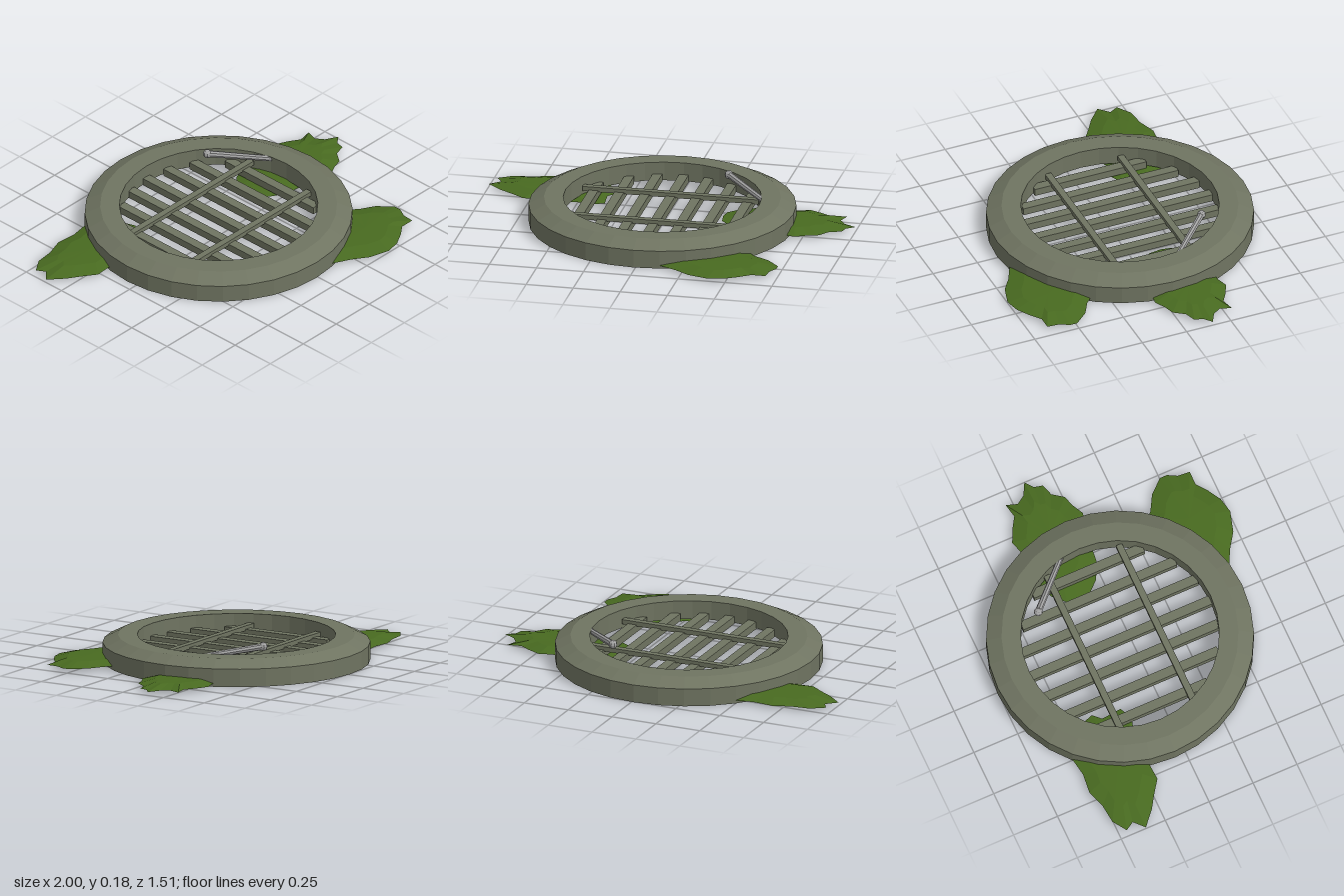
import * as THREE from 'three';

const material = (name, color, side = THREE.FrontSide) =>
  new THREE.MeshStandardMaterial({ name, color, side, flatShading: true });

const CENTER = new THREE.Vector3(-0.01, 0, -0.06);
const INNER = 0.515;

// Leaf outlines as x, z pairs, counterclockwise from above
const LEAVES = {
  leftLeaf: [0.29, -0.16, 0.3, -0.09, 0.35, -0.035, 0.43, 0.01, 0.52, 0.02, 0.62, 0.04, 0.717, 0.056,
    0.78, 0.024, 0.835, 0.008, 0.877, -0.05, 0.94, -0.07, 0.95, -0.115, 0.995, -0.15, 0.93, -0.185,
    0.9, -0.23, 0.92, -0.29, 0.845, -0.275, 0.79, -0.31, 0.717, -0.345, 0.65, -0.325, 0.56, -0.33,
    0.45, -0.32, 0.36, -0.28, 0.3, -0.22],
  frontLeaf: [0.11, 0.55, 0.12, 0.62, 0.22, 0.67, 0.3, 0.725, 0.41, 0.757, 0.49, 0.74, 0.56, 0.7,
    0.62, 0.655, 0.695, 0.655, 0.7, 0.59, 0.727, 0.54, 0.727, 0.5, 0.66, 0.425, 0.58, 0.38,
    0.53, 0.33, 0.44, 0.31, 0.33, 0.34, 0.25, 0.4, 0.15, 0.47],
  rightLeaf: [-1, -0.36, -0.92, -0.29, -0.85, -0.245, -0.78, -0.195, -0.7, -0.2, -0.6, -0.18, -0.5, -0.2,
    -0.42, -0.18, -0.35, -0.21, -0.36, -0.32, -0.32, -0.36, -0.35, -0.45, -0.42, -0.52, -0.5, -0.553,
    -0.6, -0.537, -0.705, -0.548, -0.8, -0.516, -0.9, -0.505, -0.973, -0.457, -0.945, -0.41],
};

// Shallow dome: jagged rim, raised inner loop, centre point
function leafGeometry(outline) {
  const n = outline.length / 2;
  let cx = 0, cz = 0;
  for (let i = 0; i < n; i++) {
    cx += outline[2 * i] / n;
    cz += outline[2 * i + 1] / n;
  }
  const positions = [], index = [];
  for (const [scale, y] of [[1, 0.017], [0.62, 0.038]]) {
    for (let i = 0; i < n; i++) {
      positions.push(cx + (outline[2 * i] - cx) * scale, y, cz + (outline[2 * i + 1] - cz) * scale);
    }
  }
  positions.push(cx, 0.04, cz);
  for (let i = 0; i < n; i++) {
    const j = (i + 1) % n;
    index.push(i, j, n + j, i, n + j, n + i, n + i, n + j, 2 * n);
  }
  const geometry = new THREE.BufferGeometry();
  geometry.setAttribute('position', new THREE.Float32BufferAttribute(positions, 3));
  geometry.setIndex(index);
  geometry.computeVertexNormals();
  return geometry;
}

export function createModel() {
  const model = new THREE.Group();
  model.name = 'drainGrate';
  const iron = material('weatheredIron', 0x6f7461);
  const ironShell = material('weatheredIronShell', 0x6f7461, THREE.DoubleSide);
  const steel = material('paleSteel', 0xa2a2a2);
  const green = material('leafGreen', 0x486a20, THREE.DoubleSide);

  const add = (parent, name, geometry, mat, x = 0, y = 0, z = 0) => {
    const mesh = new THREE.Mesh(geometry, mat);
    mesh.name = name;
    mesh.position.set(x, y, z);
    parent.add(mesh);
    return mesh;
  };

  const grate = new THREE.Group();
  grate.name = 'grate';
  grate.position.copy(CENTER);
  model.add(grate);

  // Hollow bevelled rim, open underneath
  const profile = [[0.695, 0], [0.695, 0.095], [0.615, 0.135], [INNER, 0.135], [INNER, 0.035]]
    .map(([r, y]) => new THREE.Vector2(r, y));
  add(grate, 'rim', new THREE.LatheGeometry(profile, 32), ironShell);

  // Long bars, cut to the width of the opening
  for (let i = -3; i <= 3; i++) {
    const x = i * 0.136;
    const length = 2 * Math.sqrt(INNER * INNER - x * x);
    add(grate, 'longBar', new THREE.BoxGeometry(0.05, 0.04, length), iron, x, 0.05, 0);
  }

  // Two cross bars resting on the long bars
  for (const side of [-1, 1]) {
    add(grate, 'crossBar', new THREE.BoxGeometry(0.935, 0.025, 0.035), iron, 0, 0.075, side * 0.205);
  }

  // Loose pin lying across the rim
  const head = new THREE.Vector3(0.268, 0.157, -0.4);
  const tip = new THREE.Vector3(0.505, 0.118, -0.165);
  const axis = tip.clone().sub(head);
  const middle = head.clone().add(tip).multiplyScalar(0.5);
  const pin = add(model, 'pin', new THREE.CylinderGeometry(0.015, 0.018, axis.length(), 8), steel,
    middle.x, middle.y, middle.z);
  pin.quaternion.setFromUnitVectors(new THREE.Vector3(0, 1, 0), axis.normalize());
  add(model, 'pinHead', new THREE.SphereGeometry(0.023, 8, 6), steel, head.x, head.y, head.z);

  // Leaves tucked under the rim
  for (const [name, outline] of Object.entries(LEAVES)) {
    add(model, name, leafGeometry(outline), green);
  }
  return model;
}
